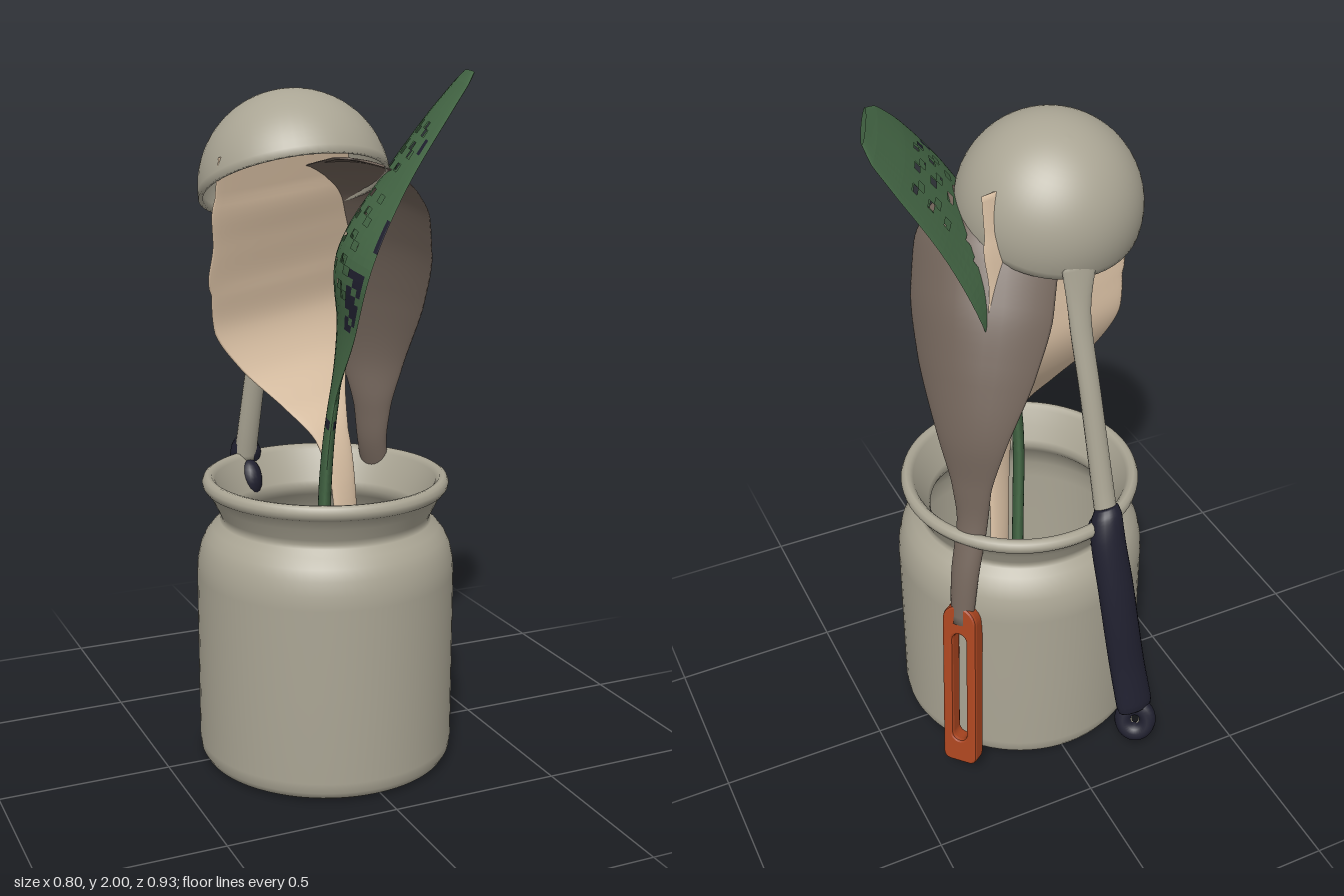
import * as THREE from 'three';

const mat = (name, color, extra = {}) => {
  const m = new THREE.MeshStandardMaterial({ color, ...extra });
  m.name = name;
  return m;
};
const V = (x, y, z) => new THREE.Vector3(x, y, z);

// Lofts an elliptical section along stations [x, y, z, halfWidth, halfThickness, bulge].
// `across` is the width direction; keep(i, row) picks the cells to build on both sides.
function loft(stations, across, nu, nv, keep = null) {
  const centre = new THREE.CatmullRomCurve3(stations.map(s => V(s[0], s[1], s[2])));
  const size = new THREE.CatmullRomCurve3(stations.map(s => V(s[3], s[4], s[5] || 0)));
  const W = across.clone().normalize(), ring = nu * 2, pos = [], idx = [];
  for (let j = 0; j <= nv; j++) {
    const c = centre.getPoint(j / nv), s = size.getPoint(j / nv);
    const N = centre.getTangent(j / nv).cross(W).normalize();
    for (let i = 0; i < ring; i++) {
      const a = Math.PI * i / nu, u = -Math.cos(a);
      const p = c.clone().addScaledVector(W, u * s.x)
        .addScaledVector(N, Math.sin(a) * s.y + (1 - u * u) * s.z);
      pos.push(p.x, p.y, p.z);
    }
  }
  for (let j = 0; j < nv; j++) {
    for (let i = 0; i < ring; i++) {
      if (keep && !keep(Math.min(i, ring - 1 - i), j)) continue;
      const a = j * ring + i, b = j * ring + (i + 1) % ring;
      idx.push(a, a + ring, b, b, a + ring, b + ring);
    }
  }
  // end caps on solid lofts
  const e = nv * ring;
  for (let i = 1; !keep && i < ring - 1; i++) idx.push(0, i, i + 1, e, e + i + 1, e + i);
  const g = new THREE.BufferGeometry();
  g.setAttribute('position', new THREE.Float32BufferAttribute(pos, 3));
  g.setIndex(idx);
  g.computeVertexNormals();
  return g;
}

export function createModel() {
  const model = new THREE.Group();
  model.name = 'utensilCrock';
  const stone = mat('stoneGrey', 0xaaa594);
  const tan = mat('paleWood', 0xdfc5a8, { side: THREE.DoubleSide });
  const brown = mat('brown', 0x72645a, { side: THREE.DoubleSide });
  const green = mat('green', 0x456846, { flatShading: true, side: THREE.DoubleSide });
  const navy = mat('navy', 0x20202f, { side: THREE.DoubleSide });
  const orange = mat('burntOrange', 0xa8441f);
  const add = (name, geo, material, parent = model) => {
    const m = new THREE.Mesh(geo, material);
    m.name = name;
    parent.add(m);
    return m;
  };
  const group = (name, parent = model) => {
    const g = new THREE.Group();
    g.name = name;
    parent.add(g);
    return g;
  };

  // Crock: outer wall, rolled rim and hollow inside in one profile
  const profile = [
    [0, .02], [.285, .02], [.3, .015], [.31, .003], [.325, 0], [.345, .002], [.362, .012], [.372, .03],
    [.376, .06], [.376, .3], [.376, .57], [.373, .61], [.364, .65], [.35, .68], [.33, .705], [.308, .725],
    [.303, .735], [.308, .75], [.325, .785], [.338, .812], [.348, .818], [.355, .828], [.357, .84],
    [.352, .853], [.342, .859], [.33, .857], [.32, .845], [.3, .8], [.278, .755], [.272, .735], [.285, .71],
    [.32, .67], [.338, .62], [.342, .56], [.342, .08], [.33, .05], [.3, .04], [0, .04],
  ].map(p => new THREE.Vector2(p[0], p[1]));
  add('crock', new THREE.LatheGeometry(profile, 72), stone).position.set(-.02, 0, .05);

  // Ladle: tilted upturned bowl, slim shaft and dark grip with a hanging ring
  const ladle = group('ladle');
  const R = .262, bowl = [];
  for (let i = 0; i <= 20; i++) {
    const a = Math.PI / 2 * (1 - i / 20);
    bowl.push(new THREE.Vector2((R - .012) * Math.cos(a), (R - .012) * Math.sin(a)));
  }
  for (let i = 0; i <= 20; i++) {
    const a = Math.PI / 2 * i / 20;
    bowl.push(new THREE.Vector2(Math.max(0, R * Math.cos(a)), R * Math.sin(a)));
  }
  const cup = add('ladleBowl', new THREE.LatheGeometry(bowl, 56), stone, ladle);
  cup.position.set(-.14, 1.69, .115);
  cup.rotation.x = -.42;
  add('ladleShaft', loft([
    [-.15, .84, -.265, .034, .03], [-.145, .95, -.24, .033, .028], [-.125, 1.25, -.185, .031, .025],
    [-.11, 1.48, -.14, .033, .02], [-.115, 1.64, -.12, .055, .012],
  ], V(1, 0, 0), 8, 24), stone, ladle);
  add('ladleGrip', loft([
    [-.148, .89, -.262, .036, .032], [-.143, .865, -.275, .047, .042], [-.138, .8, -.297, .053, .044],
    [-.148, .65, -.335, .056, .042], [-.16, .5, -.362, .057, .04], [-.175, .35, -.384, .058, .037],
    [-.188, .22, -.412, .06, .034], [-.19, .195, -.418, .056, .028],
  ], V(1, 0, -.1), 10, 36), navy, ladle);
  const collar = add('ladleGripShoulder', new THREE.SphereGeometry(1, 20, 14), navy, ladle);
  collar.position.set(-.147, .775, -.245);
  collar.scale.set(.04, .065, .055);
  const ring = group('ladleHangingRing', ladle);
  ring.position.set(-.19, .15, -.424);
  ring.lookAt(.5 - .19, .45, -1.174);
  add('ringBody', new THREE.TorusGeometry(.038, .026, 12, 28), navy, ring).scale.y = 1.15;
  add('ringLining', new THREE.TorusGeometry(.0165, .0065, 8, 24), stone, ring).scale.y = 1.4;

  // Spatula: narrow stem kicking back into a wide plate that leans forward
  add('spatula', loft([
    [.0, .1, .18, .035, .015], [-.02, .5, .2, .04, .015], [-.03, .86, .2, .045, .014],
    [-.05, 1.0, .165, .065, .013], [-.075, 1.1, .1, .125, .011], [-.1, 1.21, .03, .21, .01],
    [-.122, 1.32, 0, .265, .009], [-.13, 1.43, .015, .272, .008], [-.133, 1.56, .042, .272, .008],
    [-.135, 1.69, .069, .272, .008], [-.135, 1.8, .092, .268, .006],
  ], V(.92, .08, -.36), 14, 70), tan);

  // Spoon: curved bowl, and a stem passing out over the rim to an open orange grip
  const spoon = group('spoon');
  add('spoonBody', loft([
    [.285, .56, -.197, .034, .024], [.26, .72, -.172, .042, .026], [.222, .88, -.145, .046, .024],
    [.217, 1.0, -.135, .06, .02], [.205, 1.15, -.115, .105, .015, .02], [.16, 1.32, -.05, .17, .011, .06],
    [.11, 1.48, .02, .208, .009, .085], [.07, 1.6, .075, .21, .008, .085], [.033, 1.68, .115, .185, .008, .065],
    [0, 1.735, .145, .135, .007, .035], [-.02, 1.765, .158, .03, .005, 0],
  ], V(.7, 0, .7), 14, 64), brown, spoon);
  const frame = new THREE.Shape();
  frame.moveTo(-.047, .02);
  frame.quadraticCurveTo(-.047, 0, -.03, 0);
  frame.lineTo(.03, 0);
  frame.quadraticCurveTo(.047, 0, .047, .02);
  frame.absarc(0, .495, .047, 0, Math.PI, false);
  const slot = new THREE.Path();
  slot.absarc(0, .095, .03, Math.PI, Math.PI * 2, false);
  slot.absarc(0, .43, .03, 0, Math.PI, false);
  frame.holes.push(slot);
  const gripGeo = new THREE.ExtrudeGeometry(frame, {
    depth: .035, bevelEnabled: true, bevelThickness: .01, bevelSize: .008, bevelSegments: 2, curveSegments: 10,
  });
  gripGeo.translate(0, 0, -.0175);
  const gripUp = V(-.05, .54, .09).normalize();
  const gripSide = V(.64, 0, .77);
  gripSide.addScaledVector(gripUp, -gripSide.dot(gripUp)).normalize();
  gripGeo.applyMatrix4(new THREE.Matrix4()
    .makeBasis(gripSide, gripUp, gripSide.clone().cross(gripUp)).setPosition(.325, .08, -.272));
  add('spoonGrip', gripGeo, orange, spoon);

  // Slotted turner: faceted, perforated scoop leaning over the spoon, with dark patches
  const turner = group('slottedTurner');
  const turnerStations = [
    [-.06, .1, .16, .04, .018], [-.085, .5, .2, .05, .018], [-.1, .86, .23, .055, .018],
    [-.075, 1.12, .235, .07, .014], [-.005, 1.3, .19, .2, .01, -.03], [.045, 1.5, .18, .3, .009, -.07],
    [.14, 1.7, .185, .275, .009, -.035], [.265, 1.88, .185, .225, .009, -.015],
    [.33, 1.96, .18, .175, .008, -.005], [.358, 1.992, .175, .11, .008],
  ];
  const patch = (i, j) =>
    (j === 27 && i > 8 && i < 16) || (i > 12 && i < 16 && j > 40 && j < 49 && (i + j) % 4 > 0) ||
    (i > 15 && j > 51 && j < 56) || (i === 14 && j > 63 && j < 66);
  const hole = (i, j) => i > 4 && i < 13 && ((j > 43 && j < 58) || (j > 60 && j < 68)) &&
    (i * 7 + j * 5 + i * j) % 3 === 0;
  const turnerAcross = V(-.38, 0, .92);
  add('turnerBlade', loft(turnerStations, turnerAcross, 18, 90, (i, j) => !patch(i, j) && !hole(i, j)), green, turner);
  add('turnerPatches', loft(turnerStations, turnerAcross, 18, 90, patch), navy, turner);

  return model;
}
